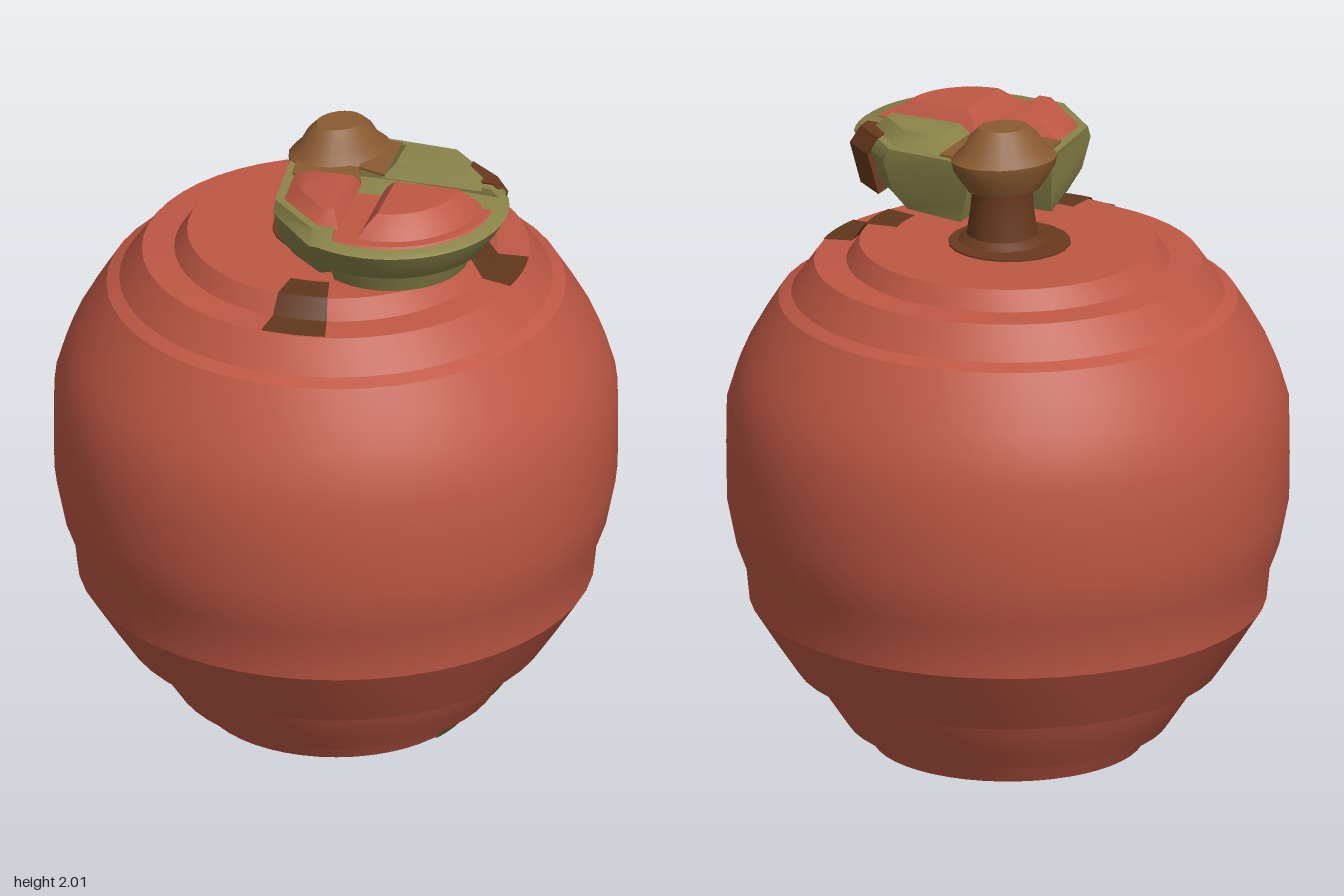
import * as THREE from 'three';
import { toCreasedNormals } from 'three/addons/utils/BufferGeometryUtils.js';

const mat = (name, color, side = THREE.FrontSide) => {
  const m = new THREE.MeshStandardMaterial({ color, side });
  m.name = name;
  return m;
};

// Closed solid through rings of [x, z] points; each ring is [y, points]
function loft(rings, swap = false) {
  const loops = rings.map(([y, pts]) => {
    const p = pts.map(([x, z]) => (swap ? [z, x] : [x, z]));
    let area = 0;
    p.forEach(([x, z], i) => { const q = p[(i + 1) % p.length]; area += x * q[1] - q[0] * z; });
    if (area > 0) p.reverse(); // same turning direction for every ring
    return p.map(([x, z]) => [x, y, z]);
  });
  const n = loops[0].length, pos = loops.flat(2), idx = [];
  for (let r = 0; r < loops.length - 1; r++) {
    for (let i = 0; i < n; i++) {
      const a = r * n + i, b = r * n + (i + 1) % n;
      idx.push(a, b, b + n, a, b + n, a + n);
    }
  }
  const top = (loops.length - 1) * n;
  for (let i = 1; i < n - 1; i++) {
    idx.push(0, i + 1, i);
    idx.push(top, top + i, top + i + 1);
  }
  const g = new THREE.BufferGeometry();
  g.setAttribute('position', new THREE.Float32BufferAttribute(pos, 3));
  g.setIndex(idx);
  return toCreasedNormals(g, 0.6);
}

// Sector with two straight inner sides and a round outer edge
function sector(r, cornerX, cornerZ, c = 0.24) {
  const a0 = Math.asin((cornerZ - c) / r), a1 = Math.acos((cornerX - c) / r);
  const pts = [[cornerX, cornerZ]];
  for (let i = 0; i <= 18; i++) {
    const a = a0 + (a1 - a0) * i / 18;
    pts.push([c + r * Math.cos(a), c + r * Math.sin(a)]);
  }
  return pts;
}

function lathe(points, segments = 48, start = 0, length = Math.PI * 2, crease = 0.45) {
  const pts = points.map(([r, y]) => new THREE.Vector2(r, y));
  return toCreasedNormals(new THREE.LatheGeometry(pts, segments, start, length), crease);
}

export function createModel() {
  const group = new THREE.Group();
  const red = mat('red skin', 0xbf5844);
  const olive = mat('olive green', 0x8a8449);
  const brown = mat('brown', 0x8a5a30);
  const dark = mat('dark brown', 0x693a1e);
  const oliveThin = mat('olive paint', 0x6d6a3a, THREE.DoubleSide);
  const darkThin = mat('dark brown paint', 0x60381d, THREE.DoubleSide);
  const add = (name, geometry, material, x = 0, y = 0, z = 0) => {
    const m = new THREE.Mesh(geometry, material);
    m.name = name;
    m.position.set(x, y, z);
    group.add(m);
    return m;
  };

  // Round fruit body with stepped shoulders and a flat base
  add('body', lathe([
    [0, 0], [0.42, 0], [0.46, 0.065], [0.5, 0.07], [0.54, 0.13], [0.58, 0.19], [0.61, 0.25],
    [0.66, 0.255], [0.73, 0.36], [0.8, 0.47], [0.81, 0.57], [0.84, 0.65], [0.87, 0.8],
    [0.872, 0.95], [0.87, 1.1], [0.84, 1.2], [0.81, 1.27], [0.76, 1.36], [0.71, 1.44],
    [0.67, 1.46], [0.6, 1.56], [0.5, 1.565], [0.46, 1.625], [0, 1.625],
  ]), red);

  // Painted patches on the shoulders, below the leaf cup
  const shoulder = [[0.36, 1.63], [0.463, 1.63], [0.505, 1.57], [0.6, 1.565]];
  for (const phi of [0.03, Math.PI / 2 - 0.03]) {
    add('shoulderPatch', lathe(shoulder, 8, phi - 0.17, 0.34), darkThin);
  }
  // Painted patches on the base
  add('basePatchSide', lathe([[0.22, -0.003], [0.423, -0.003], [0.464, 0.064]], 8, 1.08, 0.49), oliveThin);
  add('basePatchSpot', lathe([[0.545, 0.13], [0.58, 0.18]], 6, 1.31, 0.2), oliveThin);
  add('baseSpot', new THREE.CylinderGeometry(0.2, 0.2, 0.006, 24), dark, 0.06, -0.001, 0.06);
  add('baseSpotCentre', new THREE.CylinderGeometry(0.09, 0.09, 0.006, 20), brown, 0.06, -0.003, 0.06);

  // Stem with a flared foot and a wide cap
  add('stemFoot', new THREE.CylinderGeometry(0.19, 0.19, 0.008, 20), dark, -0.01, 1.626, -0.01);
  add('stem', lathe([[0, 1.6], [0.15, 1.62], [0.11, 1.65], [0.1, 1.72], [0.095, 1.8], [0.11, 1.88], [0, 1.88]], 20), dark, 0.02, 0, 0);
  const cap = add('stemCap', lathe([[0, 1.8], [0.09, 1.8], [0.125, 1.87], [0.13, 1.9], [0.1, 1.935], [0.085, 1.97], [0.06, 2], [0, 2]], 20), brown, 0.01, 0, -0.01);
  cap.rotation.y = Math.PI / 4;
  cap.scale.x = 1.3;

  // Open leaf cup with a rounded front edge
  add('leafCup', loft([
    [1.69, sector(0.24, 0.11, 0.11)], [1.75, sector(0.265, 0.1, 0.1)], [1.765, sector(0.3, 0.1, 0.1)],
    [1.83, sector(0.345, 0.1, 0.1)], [1.865, sector(0.365, 0.1, 0.1)], [1.875, sector(0.35, 0.1, 0.1)],
  ]), olive);
  add('cupFilling', loft([[1.872, sector(0.32, 0.1, 0.22)], [1.88, sector(0.31, 0.1, 0.22)]]), red);
  add('cupDome', loft([
    [1.875, sector(0.28, 0.2, 0.19)], [1.91, sector(0.25, 0.22, 0.21)], [1.942, sector(0.21, 0.25, 0.23)],
  ]), red);

  // Raised side lobes, mirrored across the cup's diagonal
  const lobe = [
    [1.695, [[-0.09, 0.12], [0.05, 0.12], [0.1, 0.4], [0.06, 0.42], [-0.05, 0.32]]],
    [1.76, [[-0.1, 0.1], [0.06, 0.1], [0.12, 0.5], [0.06, 0.5], [-0.08, 0.36]]],
    [1.86, [[-0.11, 0.08], [0.08, 0.08], [0.13, 0.57], [0.06, 0.56], [-0.1, 0.38]]],
    [1.9, [[-0.12, 0.1], [0.08, 0.1], [0.13, 0.53], [0.06, 0.52], [-0.1, 0.36]]],
  ];
  const lobeTop = [
    [1.895, [[-0.09, 0.18], [0.13, 0.18], [0.14, 0.5], [0.07, 0.5], [-0.08, 0.35]]],
    [1.94, [[-0.02, 0.22], [0.11, 0.22], [0.11, 0.45], [0.07, 0.45], [-0.02, 0.35]]],
  ];
  add('rightLobe', loft(lobe), olive);
  add('rightLobeTop', loft(lobeTop), red);
  add('leftLobe', loft(lobe, true), olive);
  add('leftLobeTop', loft(lobeTop, true), olive);

  // Brown markings on the lobes
  const inner = [[-0.1, 0.1], [0.1, 0.1], [0.13, 0.19], [-0.09, 0.19]];
  const outer = [[-0.03, 0.43], [0.1, 0.43], [0.1, 0.53], [0.05, 0.53]];
  for (const swap of [false, true]) {
    add('lobeInnerMark', loft([[1.899, inner], [1.907, inner]], swap), brown);
  }
  add('lobeOuterMark', loft([[1.72, outer], [1.85, outer.map(([x, z]) => [x - 0.015, z + 0.03])], [1.905, outer]], true), dark);

  return group;
}
